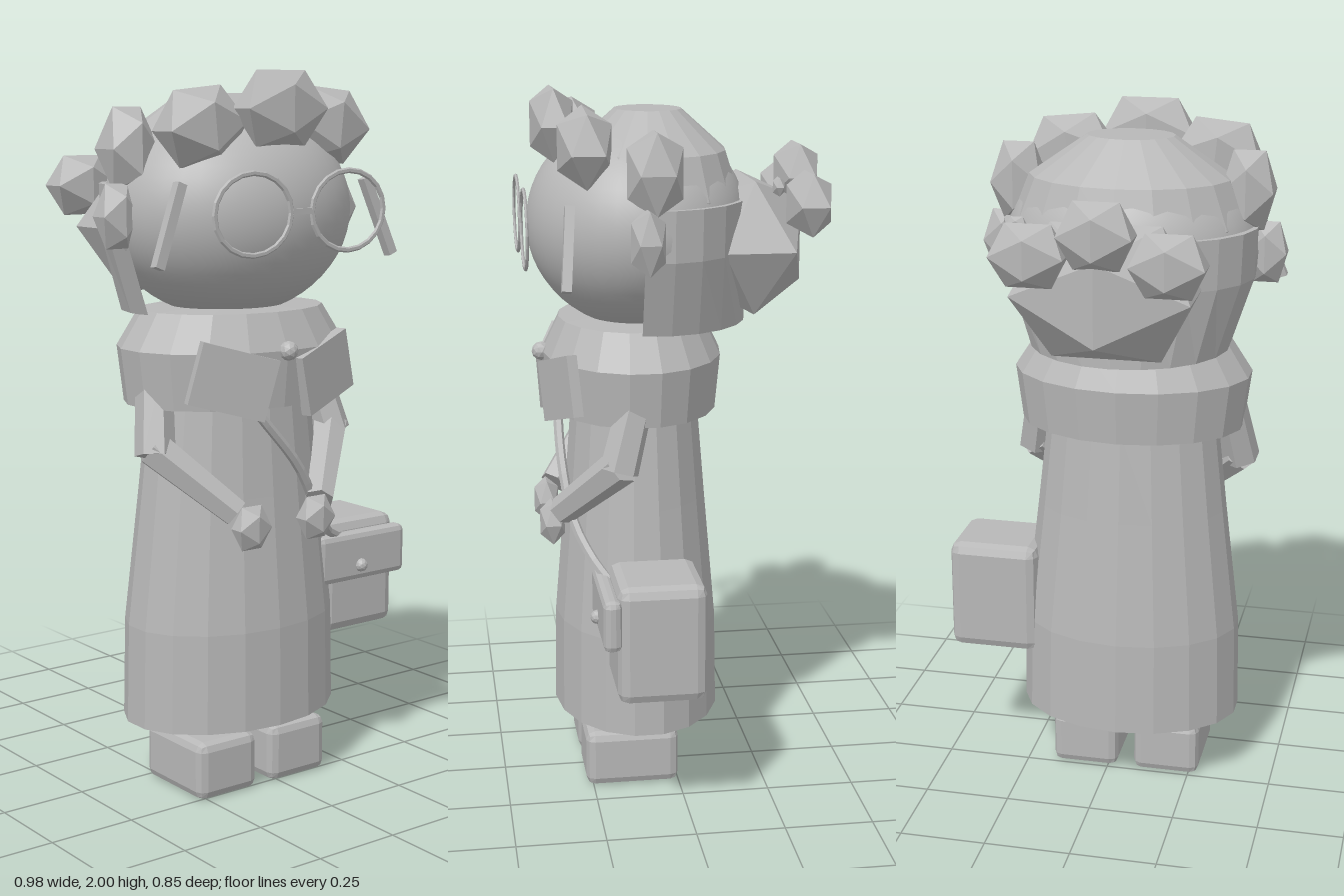
import * as THREE from 'three';
import { RoundedBoxGeometry } from 'three/addons/geometries/RoundedBoxGeometry.js';

const CX = -0.055; // mirror plane of the figure
const grey = new THREE.MeshStandardMaterial({ color: 0xb8b8b8 });
grey.name = 'grey';

export function createModel() {
  const root = new THREE.Group();
  root.name = 'figure';

  const flat = (g) => {
    const f = g.index ? g.toNonIndexed() : g;
    f.computeVertexNormals();
    return f;
  };
  const add = (name, geo, pos = [0, 0, 0], smooth = false) => {
    const m = new THREE.Mesh(smooth ? geo : flat(geo), grey);
    m.name = name;
    m.position.set(...pos);
    root.add(m);
    return m;
  };
  // profile [radius, y] spun into an oval body
  const lathe = (pts, zScale, start = 0, length = Math.PI * 2, seg = 18) =>
    new THREE.LatheGeometry(pts.map(([r, y]) => new THREE.Vector2(r, y)), seg, start, length).scale(1, 1, zScale);
  // faceted lump given by its half sizes
  const lump = (name, pos, half, tilt = 0) => {
    const g = new THREE.IcosahedronGeometry(1 / 0.85, 0).scale(...half);
    const m = add(name, g, pos);
    m.rotation.z = tilt;
    return m;
  };
  const chamferBox = (name, x, y, z, bevel) =>
    add(name, new RoundedBoxGeometry(x[1] - x[0], y[1] - y[0], z[1] - z[0], 1, bevel),
      [(x[0] + x[1]) / 2, (y[0] + y[1]) / 2, (z[0] + z[1]) / 2]);
  // straight limb between two points
  const limb = (name, a, b, ra, rb, sides = 6) => {
    const A = new THREE.Vector3(...a), B = new THREE.Vector3(...b);
    const dir = B.clone().sub(A);
    const m = add(name, new THREE.CylinderGeometry(rb, ra, dir.length(), sides));
    m.position.copy(A).add(B).multiplyScalar(0.5);
    m.quaternion.setFromUnitVectors(new THREE.Vector3(0, 1, 0), dir.normalize());
    return m;
  };

  // Dress and cape
  add('dress', lathe([[0, 0.2], [0.33, 0.2], [0.324, 0.48], [0.28, 0.85], [0.25, 1.12], [0.22, 1.25], [0, 1.25]], 0.727),
    [CX, 0, 0.1]);
  add('cape', lathe([[0, 1.105], [0.325, 1.105], [0.345, 1.26], [0.28, 1.36], [0, 1.37]], 0.74), [CX, 0, 0.108]);
  add('capeButton', new THREE.IcosahedronGeometry(0.027, 1), [CX, 1.26, 0.365]);

  // Head and hair
  add('face', new THREE.SphereGeometry(1, 40, 28).scale(0.36, 0.295, 0.31), [CX, 1.625, 0.09], true);
  add('hairCap', lathe([[0.33, 1.69], [0.335, 1.71], [0.285, 1.83], [0.123, 1.94], [0, 1.94]], 0.76), [CX, 0, 0.057]);
  const back = lathe([[0, 1.35], [0.285, 1.35], [0.355, 1.56], [0.36, 1.7], [0.2, 1.7]], 1, Math.PI / 2 - 0.18, Math.PI + 0.36, 12);
  const p = back.attributes.position;
  for (let i = 0; i < p.count; i++) {
    const t = Math.min(1, Math.max(0, (p.getY(i) - 1.35) / 0.21));
    p.setZ(i, p.getZ(i) * THREE.MathUtils.lerp(0.97, 0.775, t));
  }
  add('backHair', back, [CX, 0, 0.06]);
  lump('bun', [-0.045, 1.565, -0.22], [0.245, 0.185, 0.16]);
  lump('bunCurl', [-0.24, 1.68, -0.365], [0.1, 0.085, 0.063]);
  lump('bunCurl', [-0.05, 1.75, -0.365], [0.1, 0.09, 0.063]);
  lump('bunCurl', [0.13, 1.69, -0.365], [0.1, 0.085, 0.063]);
  lump('hairPin', [0.185, 1.745, -0.268], [0.027, 0.025, 0.016]);
  lump('frontCurl', [CX, 1.9, 0.325], [0.132, 0.1, 0.06]);

  // Glasses bridge
  add('glassesBridge', new THREE.BoxGeometry(0.06, 0.016, 0.01), [CX, 1.635, 0.416]);

  // Paired parts
  for (const s of [-1, 1]) {
    const X = (d) => CX + s * d;
    const side = s > 0 ? 'left' : 'right';
    lump(side + 'BrowCurl', [X(0.212), 1.855, 0.255], [0.123, 0.1, 0.073], -s * 0.1);
    lump(side + 'TempleCurl', [X(0.325), 1.795, 0.08], [0.072, 0.11, 0.075]);
    lump(side + 'EarCurl', [X(0.375), 1.62, 0.105], [0.058, 0.086, 0.046]);

    const rim = new THREE.TorusGeometry(0.125, 0.009, 6, 20).scale(1, 0.85, 0.55);
    add(side + 'GlassesRim', rim, [X(0.16), 1.632, 0.416]);
    const arm = add(side + 'GlassesArm', new THREE.BoxGeometry(0.028, 0.23, 0.026), [X(0.355), 1.605, 0.315]);
    arm.rotation.set(-0.09, 0, s * 0.38);

    const flap = add(side + 'CollarFlap', new THREE.BoxGeometry(0.225, 0.17, 0.03), [X(0.158), 1.185, 0.325]);
    flap.rotation.set(0, s * 0.3, s * 0.27);

    limb(side + 'UpperSleeve', [X(0.27), 1.2, 0.12], [X(0.31), 0.98, 0.18], 0.05, 0.056);
    limb(side + 'LowerSleeve', [X(0.31), 1.0, 0.17], [X(0.145), 0.825, 0.325], 0.054, 0.042);
    lump(side + 'Hand', [X(0.112), 0.785, 0.35], [0.053, 0.06, 0.035]);

    chamferBox(side + 'Shoe', [X(0.125) - 0.1, X(0.125) + 0.1], [0, 0.165], [0, 0.27], 0.025);
  }

  // Shoulder bag
  const path = new THREE.CatmullRomCurve3([
    [-0.2, 1.2, 0.3], [-0.12, 1.09, 0.315], [0.02, 0.93, 0.315], [0.11, 0.79, 0.29], [0.19, 0.705, 0.245], [0.27, 0.67, 0.21],
  ].map((q) => new THREE.Vector3(...q)));
  add('bagStrap', new THREE.TubeGeometry(path, 16, 0.014, 6));
  chamferBox('bag', [0.21, 0.478], [0.38, 0.715], [-0.035, 0.21], 0.03);
  chamferBox('bagFlap', [0.16, 0.487], [0.54, 0.685], [0.2, 0.25], 0.018);
  add('bagButton', new THREE.IcosahedronGeometry(0.02, 1), [0.315, 0.585, 0.25]);

  return root;
}
